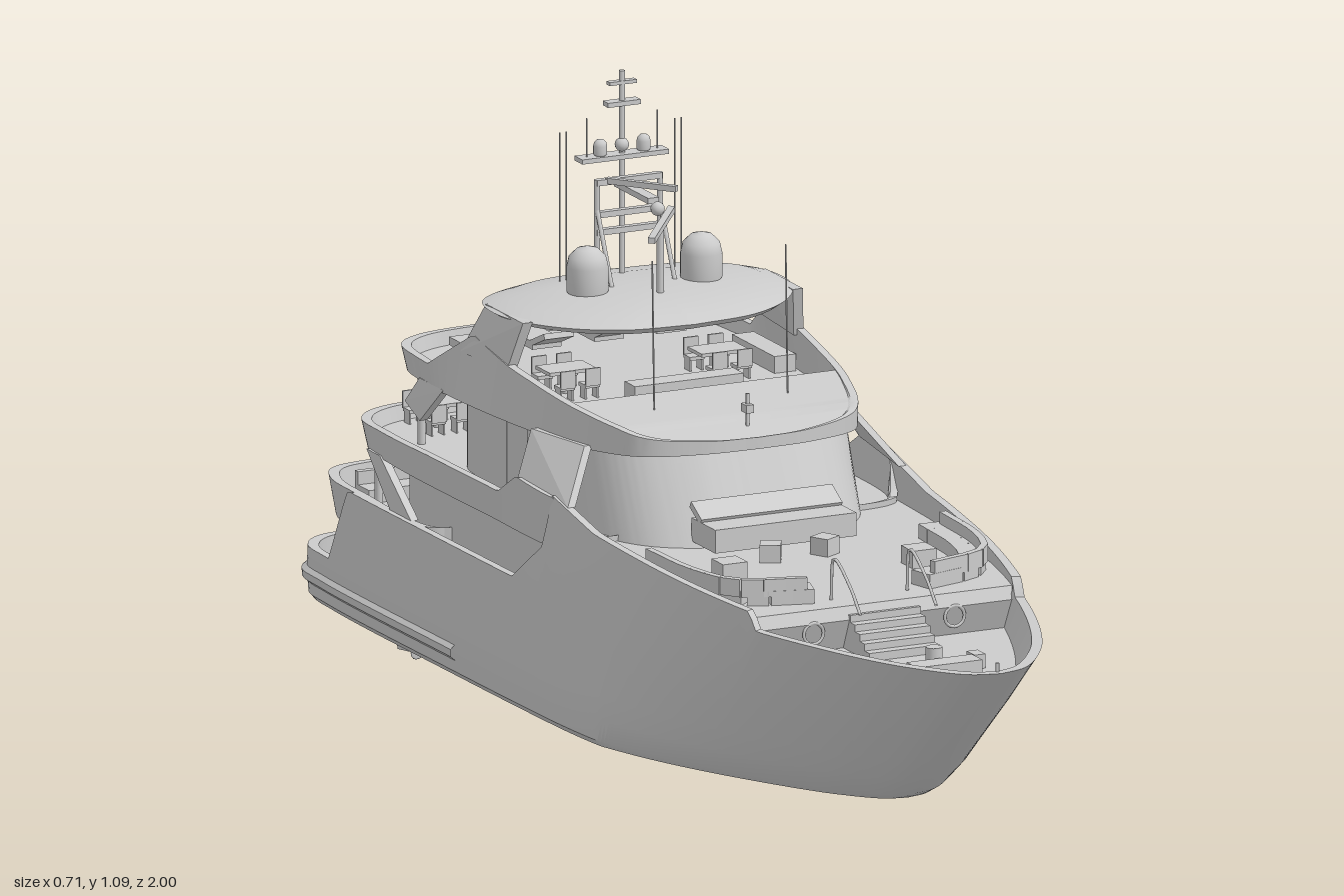
import * as THREE from 'three';
import { toCreasedNormals } from 'three/addons/utils/BufferGeometryUtils.js';
import { ConvexGeometry } from 'three/addons/geometries/ConvexGeometry.js';

const V = (x, y, z) => new THREE.Vector3(x, y, z);
const mat = new THREE.MeshStandardMaterial({ color: 0xcccccc, side: THREE.DoubleSide });

// piecewise-linear function through [key, value] pairs
function lin(...table) {
  const t = table.sort((a, b) => a[0] - b[0]);
  return k => {
    if (k <= t[0][0]) return t[0][1];
    for (let i = 1; i < t.length; i++) {
      const [a, u] = t[i - 1], [b, v] = t[i];
      if (k <= b) return u + (v - u) * (k - a) / (b - a);
    }
    return t[t.length - 1][1];
  };
}

// half outline in plan, from the bow centre round the left side to the stern centre
function outline(pts, n = 120) {
  return new THREE.CatmullRomCurve3(pts.map(([x, z]) => V(x, 0, z)), false, 'centripetal').getSpacedPoints(n);
}

// mirrored surface through half curves, listed from bottom to top
function shell(sections) {
  const out = [];
  const tri = (a, b, c) => {
    out.push(a.x, a.y, a.z, b.x, b.y, b.z, c.x, c.y, c.z);
    out.push(-a.x, a.y, a.z, -c.x, c.y, c.z, -b.x, b.y, b.z);
  };
  for (let j = 0; j + 1 < sections.length; j++) {
    const p = sections[j], q = sections[j + 1];
    for (let i = 0; i + 1 < p.length; i++) {
      tri(p[i], p[i + 1], q[i]);
      tri(p[i + 1], q[i + 1], q[i]);
    }
  }
  const g = new THREE.BufferGeometry();
  g.setAttribute('position', new THREE.Float32BufferAttribute(out, 3));
  return toCreasedNormals(g, 0.6);
}
const toCentre = curve => curve.map(p => V(0, p.y, p.z));
const inset = (p, y, d = 0.014) => V(Math.max(p.x - d, 0), y, p.z * (1 - d));

export function createModel() {
  const model = new THREE.Group();
  const add = (name, geo, x = 0, y = 0, z = 0, parent = model) => {
    const m = new THREE.Mesh(geo, mat);
    m.name = name;
    m.position.set(x, y, z);
    parent.add(m);
    return m;
  };
  const box = (name, w, h, d, x, y, z) => add(name, new THREE.BoxGeometry(w, h, d), x, y, z);
  const cyl = (name, r, h, x, y, z) => add(name, new THREE.CylinderGeometry(r, r, h, 12), x, y + h / 2, z);
  // round rod, or a box beam when w and h are given
  const beam = (name, a, b, r, w, h) => {
    const len = a.distanceTo(b);
    const geo = w ? new THREE.BoxGeometry(w, h, len) : new THREE.CylinderGeometry(r, r, len, 8).rotateX(Math.PI / 2);
    const mid = a.clone().lerp(b, 0.5);
    const m = add(name, geo, mid.x, mid.y, mid.z);
    m.lookAt(b);
    return m;
  };
  // thin plate on both sides, corners as [z, y, x]
  const plates = (name, pts, t = 0.014) => {
    for (const s of [1, -1]) add(name, new ConvexGeometry(pts.flatMap(([z, y, x]) => [V(s * x, y, z), V(s * (x - t), y, z)])));
  };

  // hull with bulwark and stepped decks; the bow narrows towards the forefoot
  const plan = outline([[0, 1], [0.055, 0.982], [0.126, 0.9], [0.18, 0.8], [0.254, 0.6], [0.302, 0.4], [0.327, 0.2], [0.338, 0],
    [0.345, -0.4], [0.345, -0.85], [0.335, -0.94], [0.29, -0.985], [0.15, -0.992], [0, -0.992]], 200);
  const widthAt = lin([0.107, 0.955], [0.12, 0.99], [0.16, 1], [0.3, 0.98], [0.4, 0.955], [0.5, 0.93]);
  const bowAt = lin([0.107, 0.645], [0.13, 0.69], [0.4, 1]);
  const bowFining = lin([0.107, 0.28], [0.4, 0]);
  const forward = lin([0.2, 0], [1, 1]);
  const sheer = lin([1, 0.405], [0.58, 0.405], [0.56, 0.435], [0.1, 0.465], [-0.05, 0.495], [-0.07, 0.405], [-0.17, 0.33],
    [-0.78, 0.33], [-0.84, 0.2]);
  const floor = lin([0.575, 0.345], [0.565, 0.42], [-0.06, 0.42], [-0.075, 0.27], [-0.78, 0.27], [-0.8, 0.17]);
  const hullPoint = (p, y) => V(p.x * widthAt(y) * (1 - bowFining(y) * forward(p.z)), y, p.z > 0 ? p.z * bowAt(y) : p.z);
  const hullCurve = y => plan.map(p => hullPoint(p, typeof y === 'number' ? y : y(p.z)));
  const bottom = hullCurve(0.107);
  const rim = hullCurve(sheer);
  const deck = plan.map(p => inset(hullPoint(p, floor(p.z)), floor(p.z)));
  add('hull', shell([toCentre(bottom), bottom, hullCurve(0.12), hullCurve(0.16), hullCurve(0.2),
    hullCurve(z => (0.2 + sheer(z)) / 2), rim, rim.map(p => inset(p, p.y)), deck, toCentre(deck)]));

  // rubbing strake round the stern
  const strakePath = plan.filter(p => p.z <= -0.36);
  const strakeRow = (y, d) => strakePath.map(p => V(hullPoint(p, y).x * (1 + d), y, p.z * (p.z < -0.9 ? 1 + d * 0.3 : 1)));
  add('sternRubbingStrake', shell([strakeRow(0.14, 0), strakeRow(0.147, 0.02), strakeRow(0.16, 0.02), strakeRow(0.167, 0)]));

  // overhanging deck: underside, outer wall, rail, floor; tall rails lean inwards
  const tray = (name, pts, b, f, t, lean = 0) => {
    const o = outline(pts);
    const under = o.map(p => V(p.x * 0.985, b(p.z), p.z < -0.5 ? p.z * 0.98 : p.z));
    const top = o.map(p => V(p.x * (1 - lean * Math.max(t(p.z) - 0.6, 0)), t(p.z), p.z));
    const base = o.map(p => inset(p, f(p.z), 0.02));
    add(name, shell([toCentre(under), under, top, top.map(p => inset(p, p.y)), base, toCentre(base)]));
  };
  tray('mainAftDeck', [[0, -0.5], [0.3, -0.5], [0.328, -0.53], [0.332, -0.75], [0.325, -0.87], [0.29, -0.93], [0.15, -0.95], [0, -0.955]],
    lin([0, 0.265]), lin([0, 0.28]), lin([0, 0.33]));
  tray('upperDeck', [[0, 0], [0.28, 0], [0.312, -0.03], [0.325, -0.3], [0.325, -0.68], [0.31, -0.785], [0.25, -0.838], [0, -0.858]],
    lin([0, 0.405]), lin([0, 0.425]),
    lin([-0.02, 0.43], [-0.04, 0.492], [-0.17, 0.5], [-0.24, 0.458], [-0.5, 0.458], [-0.86, 0.45]));
  tray('flybridge', [[0, 0.09], [0.1, 0.082], [0.2, 0.04], [0.252, -0.08], [0.282, -0.25], [0.3, -0.45], [0.3, -0.6], [0.285, -0.685], [0.23, -0.727], [0, -0.747]],
    lin([0.09, 0.572], [-0.1, 0.56]),
    lin([0.09, 0.588], [0, 0.61], [-0.14, 0.626], [-0.16, 0.576]),
    lin([0.09, 0.592], [0, 0.612], [-0.14, 0.63], [-0.3, 0.65], [-0.43, 0.675], [-0.55, 0.6]), 1);

  // closed cabins; lean rakes the front back
  const house = (name, pts, y0, y1, lean = 1) => {
    const o = outline(pts);
    const row = (y, k) => o.map(p => V(p.x, y, p.z > -0.3 ? -0.3 + (p.z + 0.3) * k : p.z));
    add(name, shell([toCentre(row(y0, 1)), row(y0, 1), row(y1, lean), toCentre(row(y1, lean))]));
  };
  house('lowerLobby', [[0, -0.5], [0.26, -0.5], [0.28, -0.52], [0.28, -0.78], [0.26, -0.81], [0, -0.81]], 0.165, 0.27);
  house('saloon', [[0, -0.02], [0.25, -0.02], [0.27, -0.05], [0.27, -0.68], [0.25, -0.71], [0, -0.71]], 0.26, 0.41);
  house('wheelhouse', [[0, 0.13], [0.1, 0.12], [0.19, 0.065], [0.24, -0.04], [0.252, -0.25], [0.252, -0.5], [0.23, -0.53], [0, -0.53]], 0.415, 0.575, 0.8);

  // window posts, boarding steps, deck pillars
  for (const s of [1, -1]) {
    for (let i = 0; i < 5; i++) {
      box('saloonWindowPost', 0.006, 0.12, 0.012, s * 0.272, 0.345, -0.14 - i * 0.12);
      if (i < 3) box('wheelhouseWindowPost', 0.006, 0.13, 0.012, s * 0.254, 0.495, -0.26 - i * 0.09);
    }
    for (let i = 0; i < 7; i++) box('boardingStep', 0.045, 0.02, 0.016, s * 0.295, 0.4 - i * 0.018, -0.065 - i * 0.015);
    cyl('lowerPillar', 0.008, 0.1, s * 0.27, 0.17, -0.89);
    cyl('mainPillar', 0.007, 0.13, s * 0.27, 0.28, -0.8);
    cyl('upperPillar', 0.007, 0.14, s * 0.25, 0.425, -0.68);
  }
  // wing plates and hardtop pylons
  plates('wingPlate', [[0, 0.485, 0.312], [-0.17, 0.495, 0.322], [-0.2, 0.57, 0.282], [-0.06, 0.57, 0.252]]);
  plates('aftWingPlate', [[-0.5, 0.565, 0.298], [-0.59, 0.565, 0.298], [-0.62, 0.52, 0.31], [-0.56, 0.5, 0.312]]);
  plates('mainWingPlate', [[-0.56, 0.33, 0.328], [-0.64, 0.33, 0.328], [-0.74, 0.41, 0.322], [-0.69, 0.41, 0.322]]);
  plates('hardtopPylon', [[-0.31, 0.64, 0.274], [-0.46, 0.64, 0.286], [-0.28, 0.728, 0.258], [-0.42, 0.728, 0.258]], 0.018);

  // hardtop
  const roof = outline([[0, -0.16], [0.12, -0.178], [0.21, -0.24], [0.264, -0.34], [0.25, -0.45], [0.16, -0.51], [0, -0.53]], 60);
  add('hardtop', shell([[0, 0.715], [0.94, 0.715], [1, 0.725], [0.85, 0.737], [0.5, 0.748], [0, 0.752]]
    .map(([k, y]) => roof.map(p => V(p.x * k, y, -0.35 + (p.z + 0.35) * k)))));

  // mast, radars, domes and whip aerials
  cyl('mastPole', 0.005, 0.35, 0, 0.745, -0.435);
  box('mastTop', 0.05, 0.006, 0.012, 0, 1.075, -0.435);
  box('mastSpreader', 0.06, 0.008, 0.02, 0, 1.04, -0.435);
  box('mastPlatform', 0.16, 0.008, 0.03, 0, 0.95, -0.435);
  for (const y of [0.83, 0.86, 0.915]) box('mastCrossbar', 0.12, 0.01, 0.012, 0, y, -0.41);
  cyl('radarPost', 0.006, 0.12, 0, 0.745, -0.29);
  beam('radarScanner', V(-0.06, 0.866, -0.2), V(0.06, 0.866, -0.37), 0, 0.012, 0.01);
  beam('upperRadarScanner', V(-0.04, 0.917, -0.41), V(0.04, 0.917, -0.31), 0, 0.01, 0.01);
  box('radarBracket', 0.02, 0.01, 0.13, 0, 0.9, -0.38);
  for (const [y, z] of [[0.89, -0.3], [0.968, -0.435]]) add('mastLamp', new THREE.SphereGeometry(0.012, 12, 8), 0, y, z);
  const domeProfile = [[0, 0], [0.03, 0], [0.035, 0.008], [0.035, 0.05], [0.031, 0.067], [0.018, 0.08], [0, 0.085]];
  const dome = new THREE.LatheGeometry(domeProfile.map(([x, y]) => new THREE.Vector2(x, y)), 24);
  for (const s of [1, -1]) {
    add('satelliteDome', dome, s * 0.105, 0.742, -0.35);
    add('smallDome', dome, s * 0.04, 0.954, -0.435).scale.setScalar(0.33);
    beam('mastLeg', V(s * 0.058, 0.74, -0.41), V(s * 0.058, 0.92, -0.41), 0.005);
    beam('mastStay', V(s * 0.058, 0.74, -0.35), V(s * 0.058, 0.87, -0.41), 0.004);
    for (const x of [0.1, 0.112]) beam('whipAerial', V(s * x, 0.74, -0.44), V(s * x, 1, -0.44), 0.0013);
    beam('forwardAerial', V(s * 0.123, 0.6, -0.06), V(s * 0.123, 0.87, -0.068), 0.0015);
    beam('mastFlagLine', V(s * 0.065, 0.95, -0.435), V(s * 0.065, 1.02, -0.435), 0.0012);
  }
  cyl('searchlightPost', 0.003, 0.06, 0, 0.595, 0.04);
  box('searchlight', 0.014, 0.014, 0.02, 0, 0.63, 0.04);

  // tables with chairs
  const dining = (x, y, z) => {
    box('tableTop', 0.085, 0.006, 0.055, x, y + 0.042, z);
    cyl('tableLeg', 0.006, 0.04, x, y, z);
    for (const s of [1, -1]) for (const c of [-0.023, 0.023]) {
      box('chairSeat', 0.027, 0.006, 0.025, x + c, y + 0.022, z + s * 0.042);
      box('chairBack', 0.027, 0.03, 0.004, x + c, y + 0.038, z + s * 0.055);
      for (const e of [-0.011, 0.011]) box('chairLeg', 0.003, 0.022, 0.02, x + c + e, y + 0.011, z + s * 0.042);
    }
  };
  for (const x of [-0.18, 0, 0.18]) dining(x, 0.425, -0.765);
  dining(0.15, 0.28, -0.83);
  dining(-0.14, 0.576, -0.36);
  dining(0.14, 0.576, -0.36);

  // sun loungers, helm and seats on the flybridge
  for (const x of [-0.17, -0.06, 0.055, 0.17]) {
    box('sunLounger', 0.054, 0.014, 0.09, x, 0.594, -0.64);
    beam('loungerBack', V(x, 0.598, -0.6), V(x, 0.62, -0.55), 0, 0.054, 0.01);
  }
  box('helmConsole', 0.2, 0.05, 0.04, 0, 0.6, -0.2);
  for (const s of [1, -1]) box('flybridgeSofa', 0.04, 0.03, 0.16, s * 0.245, 0.59, -0.4);
  add('deckRing', new THREE.TorusGeometry(0.016, 0.005, 8, 20).rotateX(Math.PI / 2), 0.205, 0.605, -0.645);
  box('aftSofa', 0.22, 0.025, 0.045, -0.15, 0.29, -0.88);
  box('aftSofaBack', 0.22, 0.03, 0.012, -0.15, 0.31, -0.905);
  for (const x of [-0.24, 0.24]) cyl('capstan', 0.018, 0.045, x, 0.17, -0.92);

  // foredeck lounge
  box('sunpad', 0.26, 0.04, 0.09, 0, 0.45, 0.14);
  beam('sunpadBack', V(0, 0.47, 0.13), V(0, 0.492, 0.09), 0, 0.26, 0.012);
  for (const s of [1, -1]) {
    const path = new THREE.CatmullRomCurve3([V(s * 0.255, 0, 0.21), V(s * 0.245, 0, 0.36), V(s * 0.21, 0, 0.45), V(s * 0.1, 0, 0.49)]).getSpacedPoints(10);
    for (let i = 0; i < 10; i++) {
      const [a, b] = [path[i], path[i + 1]];
      beam('loungeSeat', a.clone().setY(0.432), b.clone().setY(0.432), 0, 0.045, 0.025);
      const out = V(s * 0.016, 0.45, 0.012);
      beam('loungeBack', a.clone().add(out), b.clone().add(out), 0, 0.012, 0.03);
    }
    box('loungeTable', 0.045, 0.03, 0.045, s * 0.16, 0.435, 0.33 + s * 0.03);
    box('deckChair', 0.035, 0.03, 0.035, s * 0.05, 0.435, 0.23).rotation.y = s * 0.5;
    // curved handrails beside the bow stairs
    const rail = new THREE.CatmullRomCurve3([V(s * 0.07, 0.42, 0.61), V(s * 0.07, 0.46, 0.57), V(s * 0.07, 0.492, 0.51), V(s * 0.07, 0.42, 0.5)]);
    add('stairRail', new THREE.TubeGeometry(rail, 20, 0.003, 6));
    add('porthole', new THREE.TorusGeometry(0.018, 0.003, 6, 20), s * 0.13, 0.382, 0.557);
    box('bowBollard', 0.02, 0.025, 0.03, s * 0.08, 0.357, 0.74);
  }
  for (let i = 0; i < 6; i++) {
    const h = 0.076 - i * 0.012;
    box('bowStair', 0.13, h, 0.018, 0, 0.343 + h / 2, 0.535 + i * 0.018);
  }
  box('windlass', 0.12, 0.03, 0.04, 0, 0.36, 0.785);
  cyl('windlassDrum', 0.014, 0.045, 0, 0.345, 0.745);
  cyl('bowStaff', 0.003, 0.02, 0, 0.4, 0.985);

  // propellers, shafts and rudders
  for (const s of [1, -1]) {
    const x = s * 0.165;
    beam('propellerShaft', V(x, 0.112, -0.43), V(x, 0.05, -0.85), 0.005);
    box('shaftStrut', 0.01, 0.065, 0.025, x, 0.085, -0.81);
    const prop = new THREE.Group();
    prop.name = 'propeller';
    prop.position.set(x, 0.05, -0.83);
    model.add(prop);
    add('propellerHub', new THREE.SphereGeometry(0.011, 12, 8), 0, 0, 0, prop).scale.z = 1.6;
    for (let i = 0; i < 5; i++) {
      const a = i * Math.PI * 0.4 + Math.PI / 2;
      const blade = add('propellerBlade', new THREE.SphereGeometry(0.02, 12, 8), Math.cos(a) * 0.026, Math.sin(a) * 0.026, 0, prop);
      blade.scale.set(1, 0.62, 0.14);
      blade.rotation.set(0, 0, a);
      blade.rotateX(0.5);
    }
    add('rudder', new ConvexGeometry([[-0.88, 0.115], [-0.95, 0.115], [-0.935, 0.002], [-0.89, 0.008]]
      .flatMap(([z, y]) => [V(x - 0.005, y, z), V(x + 0.005, y, z)])));
  }
  return model;
}
